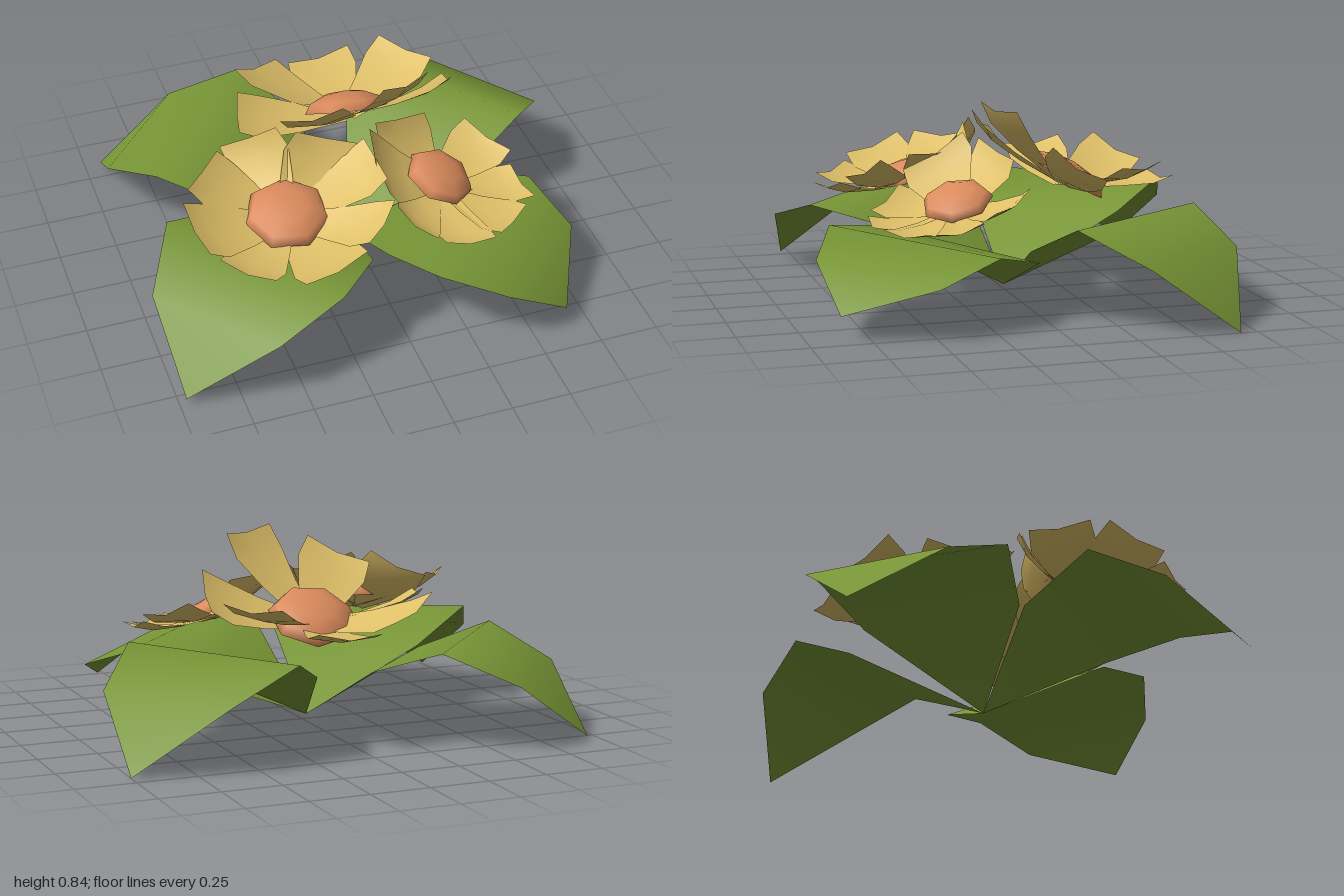
import * as THREE from 'three';

const V = (p) => new THREE.Vector3(...p);

function mat(name, color, side = THREE.FrontSide) {
  const m = new THREE.MeshStandardMaterial({ color, side });
  m.name = name;
  return m;
}

// Leaf: a folded sheet from the shared base through three left/right pairs to the tip
function leafGeometry(pairs, tip) {
  const pos = [-0.02, 0.02, 0];
  const index = [0, 1, 2];
  pairs.forEach((pair) => pos.push(...pair[0], ...pair[1]));
  pos.push(...tip);
  for (let i = 0; i < pairs.length - 1; i++) {
    const a = 1 + i * 2;
    index.push(a, a + 2, a + 1, a + 1, a + 2, a + 3);
  }
  index.push(5, 7, 6);
  const g = new THREE.BufferGeometry();
  g.setAttribute('position', new THREE.Float32BufferAttribute(pos, 3));
  g.setIndex(index);
  g.computeVertexNormals();
  return g;
}

// Petal rows from base to tip: [position along, share of the tip's width, sag]
const PETAL_ROWS = [[0, 0.3, 0], [0.45, 0.75, 0.025], [0.78, 1.06, 0.025], [1, 1, 0]];

// Petal: a cupped blade widening from the flower's heart to a blunt tip between two corners
function petalGeometry(base, [left, right]) {
  const half = V(right).sub(V(left)).multiplyScalar(0.5);
  const along = V(left).add(half).sub(base);
  const up = new THREE.Vector3().crossVectors(half, along).normalize();
  const g = new THREE.PlaneGeometry(1, 1, 2, 3);
  const p = g.attributes.position;
  for (let i = 0; i < p.count; i++) {
    const [t, width, sag] = PETAL_ROWS[Math.floor(i / 3)];
    const c = (i % 3) - 1;
    const v = base.clone().addScaledVector(along, t)
      .addScaledVector(half, c * width)
      .addScaledVector(up, Math.abs(c) * 0.025 * t - sag);
    p.setXYZ(i, v.x, v.y, v.z);
  }
  // rows run outward, so turn the faces to look upward
  const idx = g.index.array;
  for (let i = 0; i < idx.length; i += 3) [idx[i], idx[i + 1]] = [idx[i + 1], idx[i]];
  g.computeVertexNormals();
  return g;
}

const LEAVES = {
  backLeftLeaf: {
    pairs: [
      [[-0.08, 0.30, -0.54], [-0.55, 0.28, -0.02]],
      [[-0.27, 0.41, -0.80], [-0.82, 0.40, -0.16]],
      [[-0.57, 0.27, -0.91], [-0.97, 0.27, -0.45]],
    ],
    tip: [-0.93, 0.02, -0.83],
  },
  backRightLeaf: {
    pairs: [
      [[0.54, 0.28, 0.05], [0.16, 0.30, -0.54]],
      [[0.80, 0.41, -0.06], [0.32, 0.40, -0.74]],
      [[0.99, 0.27, -0.31], [0.63, 0.27, -0.81]],
    ],
    tip: [1.0, 0.0, -0.68],
  },
  frontLeftLeaf: {
    pairs: [
      [[-0.55, 0.28, 0.0], [-0.09, 0.30, 0.54]],
      [[-0.86, 0.41, 0.16], [-0.30, 0.36, 0.79]],
      [[-1.0, 0.27, 0.43], [-0.60, 0.27, 0.89]],
    ],
    tip: [-0.97, 0.02, 0.80],
  },
  frontRightLeaf: {
    pairs: [
      [[-0.02, 0.31, 0.55], [0.50, 0.22, 0.0]],
      [[0.11, 0.35, 0.79], [0.73, 0.30, 0.23]],
      [[0.37, 0.26, 0.90], [0.82, 0.21, 0.50]],
    ],
    tip: [0.65, 0.09, 0.86],
  },
};

// Each petal is given by the two corners of its tip, clockwise from above
const FLOWERS = {
  leftFlower: {
    centre: [-0.39, 0.45, 0.32], normal: [-0.05, 0.94, 0.25], radius: 0.18,
    petals: [
      [[-0.56, 0.58, -0.04], [-0.34, 0.69, 0.05]],
      [[-0.28, 0.68, 0.09], [-0.03, 0.61, 0.16]],
      [[0.0, 0.63, 0.18], [0.02, 0.59, 0.42]],
      [[0.01, 0.57, 0.54], [-0.14, 0.48, 0.66]],
      [[-0.16, 0.45, 0.68], [-0.44, 0.41, 0.75]],
      [[-0.56, 0.43, 0.71], [-0.74, 0.45, 0.54]],
      [[-0.78, 0.48, 0.52], [-0.82, 0.56, 0.27]],
      [[-0.78, 0.57, 0.20], [-0.60, 0.58, 0.0]],
    ],
  },
  rightFlower: {
    centre: [0.29, 0.45, 0.29], normal: [0.3, 0.88, 0.25], radius: 0.15,
    petals: [
      [[0.0, 0.53, 0.44], [0.0, 0.68, 0.18]],
      [[0.05, 0.66, 0.12], [0.30, 0.60, 0.04]],
      [[0.50, 0.51, 0.03], [0.64, 0.44, 0.22]],
      [[0.62, 0.40, 0.27], [0.65, 0.37, 0.47]],
      [[0.60, 0.36, 0.50], [0.43, 0.36, 0.64]],
      [[0.40, 0.36, 0.66], [0.19, 0.37, 0.64]],
      [[0.15, 0.39, 0.62], [0.03, 0.47, 0.47]],
    ],
  },
  backFlower: {
    centre: [0.06, 0.49, -0.25], normal: [0.05, 0.84, -0.5], radius: 0.185,
    petals: [
      [[-0.07, 0.46, -0.67], [0.22, 0.48, -0.69]],
      [[0.34, 0.57, -0.60], [0.50, 0.57, -0.36]],
      [[0.52, 0.53, -0.27], [0.48, 0.67, -0.05]],
      [[0.33, 0.80, 0.06], [0.10, 0.82, 0.15]],
      [[-0.08, 0.76, 0.14], [-0.31, 0.65, 0.0]],
      [[-0.46, 0.54, -0.14], [-0.40, 0.58, -0.37]],
      [[-0.37, 0.59, -0.52], [-0.14, 0.50, -0.66]],
    ],
  },
};

export function createModel() {
  const root = new THREE.Group();
  root.name = 'floweringPlant';
  const green = mat('leaf green', 0x789636, THREE.DoubleSide);
  const yellow = mat('petal yellow', 0xdfc068, THREE.DoubleSide);
  const orange = mat('heart orange', 0xdb8b5c);

  const add = (parent, name, geometry, material) => {
    const mesh = new THREE.Mesh(geometry, material);
    mesh.name = name;
    parent.add(mesh);
    return mesh;
  };

  // four drooping leaves
  for (const [name, leaf] of Object.entries(LEAVES)) {
    add(root, name, leafGeometry(leaf.pairs, leaf.tip), green);
  }

  // three tilted flowers, each a domed heart ringed by petals
  for (const [name, f] of Object.entries(FLOWERS)) {
    const flower = new THREE.Group();
    flower.name = name;
    const centre = V(f.centre);
    const normal = V(f.normal).normalize();
    const dome = new THREE.SphereGeometry(f.radius, 7, 3, 0, Math.PI * 2, 0, Math.PI / 2);
    const heart = add(flower, 'flowerHeart', dome, orange);
    heart.scale.y = 0.42;
    heart.position.copy(centre);
    heart.quaternion.setFromUnitVectors(new THREE.Vector3(0, 1, 0), normal);
    const base = centre.clone().addScaledVector(normal, -0.03);
    f.petals.forEach((corners) => add(flower, 'petal', petalGeometry(base, corners), yellow));
    root.add(flower);
  }
  return root;
}
